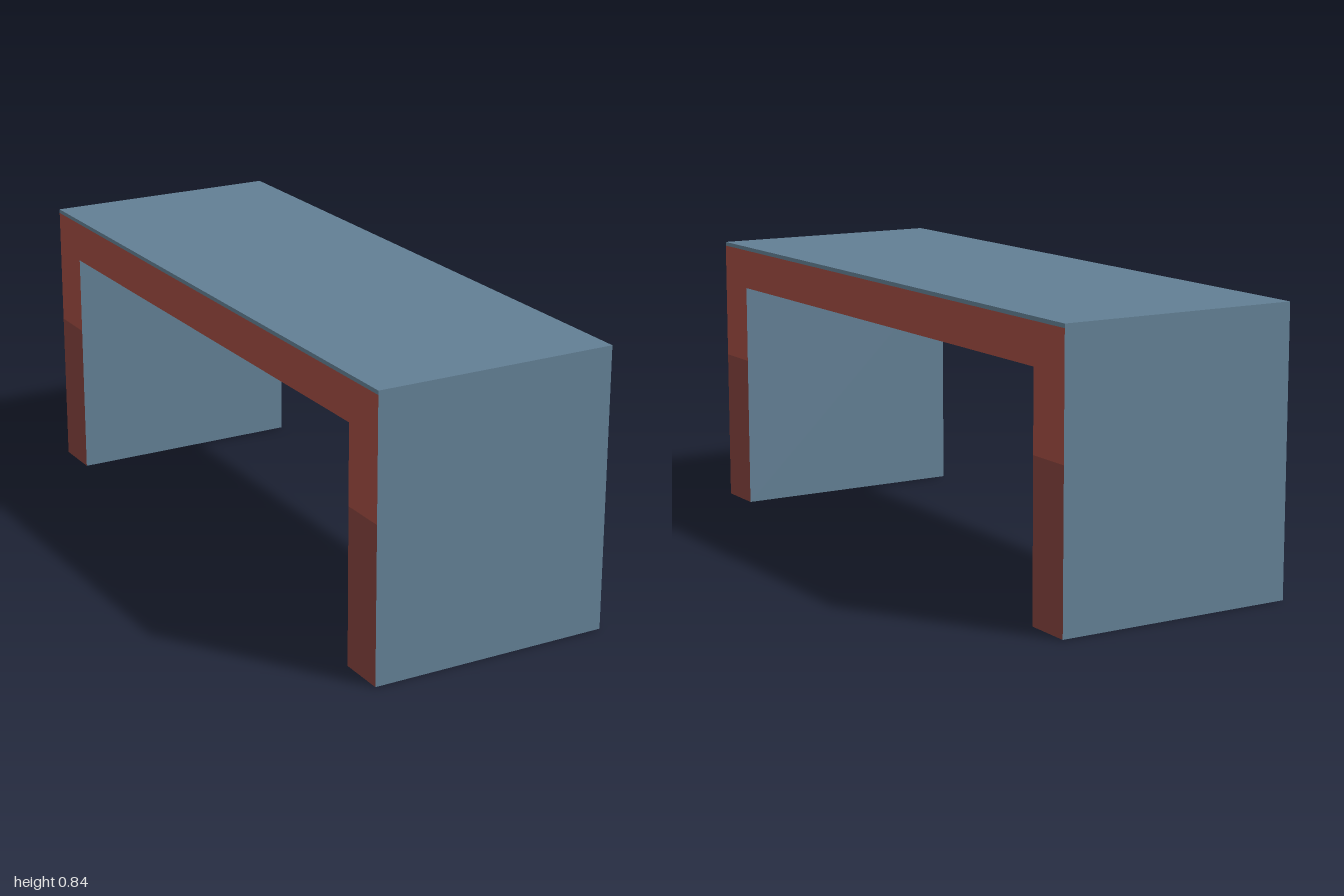
import * as THREE from 'three';

const X = 0.368, TOP = 0.842, UNDER = 0.708, INNER = 0.853, SPLIT = 0.47, TRIM = 0.83;

const flat = (name, color) => {
  const m = new THREE.MeshStandardMaterial({ color });
  m.name = name;
  return m;
};

export function createModel() {
  const model = new THREE.Group();
  model.name = 'bench';
  const blue = flat('slateBlue', 0x627f94);
  const red = flat('brickRed', 0xa04c42);
  const darkRed = flat('darkBrickRed', 0x83423c);

  const add = (name, geometry, material) => {
    const mesh = new THREE.Mesh(geometry, material);
    mesh.name = name;
    model.add(mesh);
  };

  // Panels that run across the full width, turned about x to face outwards
  const panel = (name, length, y, z, turn) => {
    const g = new THREE.PlaneGeometry(2 * X, length);
    add(name, g.rotateX(turn).translate(0, y, z), blue);
  };
  const H = Math.PI / 2;
  panel('topSurface', 2, TOP, 0, -H);
  panel('underside', 2 * INNER, UNDER, 0, H);
  panel('frontOuterPanel', TOP, TOP / 2, 1, 0);
  panel('backOuterPanel', TOP, TOP / 2, -1, Math.PI);
  panel('frontInnerPanel', UNDER, UNDER / 2, INNER, Math.PI);
  panel('backInnerPanel', UNDER, UNDER / 2, -INNER, 0);
  for (const s of [1, -1]) {
    panel(s > 0 ? 'frontFoot' : 'backFoot', 1 - INNER, 0, s * (1 + INNER) / 2, H);
  }

  // Side faces: upper frame, lower legs and the thin top trim
  const shape = (pts) => new THREE.Shape(pts.map(([z, y]) => new THREE.Vector2(z, y)));
  const rect = (z0, y0, z1, y1) => shape([[z0, y0], [z1, y0], [z1, y1], [z0, y1]]);
  const frame = shape([
    [-1, SPLIT], [-INNER, SPLIT], [-INNER, UNDER], [INNER, UNDER],
    [INNER, SPLIT], [1, SPLIT], [1, TRIM], [-1, TRIM],
  ]);
  for (const s of [1, -1]) {
    const side = s > 0 ? 'left' : 'right';
    const face = (name, outline, material) => {
      const g = new THREE.ShapeGeometry(outline);
      add(side + name, g.rotateY(s * H).translate(s * X, 0, 0), material);
    };
    face('FrameSide', frame, red);
    face('LegSideA', rect(-1, 0, -INNER, SPLIT), darkRed);
    face('LegSideB', rect(INNER, 0, 1, SPLIT), darkRed);
    face('TopTrim', rect(-1, TRIM, 1, TOP), blue);
  }
  return model;
}
